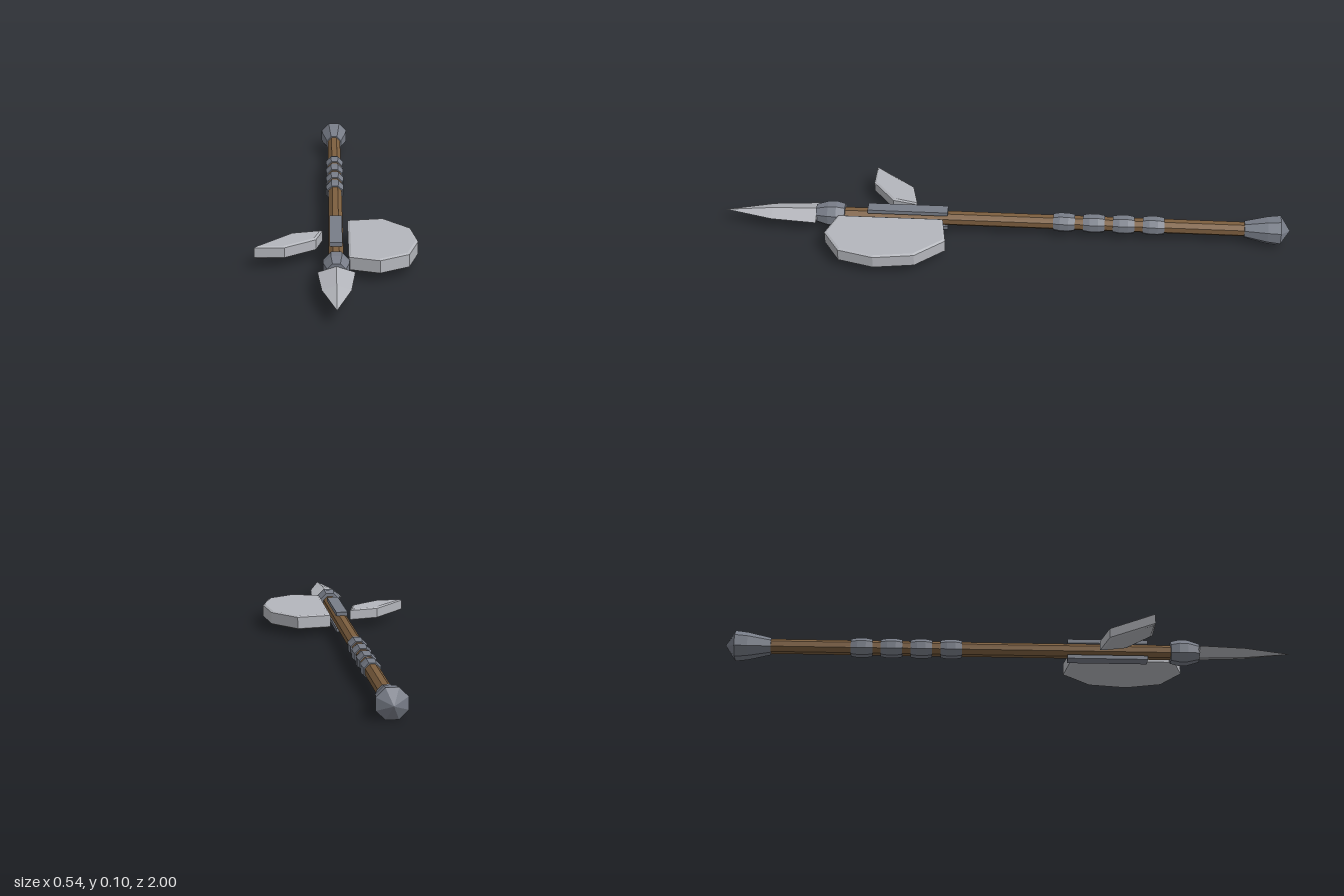
import * as THREE from 'three';

const AXIS_Y = 0.05;
const material = (color) => new THREE.MeshStandardMaterial({ color, flatShading: true });

export function createModel() {
  const model = new THREE.Group();
  const wood = material(0x7d5f3f);
  const darkMetal = material(0x787d88);
  const steel = material(0xb4b6bc);

  const add = (name, geometry, mat) => {
    const mesh = new THREE.Mesh(geometry, mat);
    mesh.name = name;
    model.add(mesh);
    return mesh;
  };

  // Faceted solid along z from [half width, z] pairs, flat side up
  const turned = (name, profile, mat) => {
    const k = 1 / Math.cos(Math.PI / 8);
    const points = profile.map(([r, z]) => new THREE.Vector2(r * k, z));
    const geometry = new THREE.LatheGeometry(points, 8, Math.PI / 8);
    geometry.rotateX(Math.PI / 2).translate(0, AXIS_Y, 0);
    return add(name, geometry, mat);
  };

  // Flat bevelled plate from an outline of [x, z] pairs
  const plate = (name, outline, thickness, mat) => {
    const shape = new THREE.Shape(outline.map(([x, z]) => new THREE.Vector2(x, -z)));
    const bevel = 0.004;
    const geometry = new THREE.ExtrudeGeometry(shape, {
      depth: thickness - 2 * bevel,
      bevelEnabled: true,
      bevelSegments: 1,
      bevelThickness: bevel,
      bevelSize: 0.008,
      bevelOffset: -0.008,
    });
    geometry.translate(0, 0, bevel - thickness / 2);
    geometry.rotateX(-Math.PI / 2).translate(0, AXIS_Y + 0.002, 0);
    return add(name, geometry, mat);
  };

  // Wooden shaft
  turned('shaft', [[0, -0.9], [0.024, -0.9], [0.024, 0.6], [0, 0.6]], wood);

  // Pommel at the back end
  turned('pommel', [[0, -1], [0.05, -0.965], [0.045, -0.92], [0.028, -0.84], [0, -0.84]], darkMetal);

  // Grip rings
  for (let i = 0; i < 4; i++) {
    const z = -0.522 + i * 0.105;
    turned('gripRing', [
      [0.02, z - 0.038], [0.028, z - 0.038], [0.032, z - 0.015],
      [0.032, z + 0.015], [0.028, z + 0.038], [0.02, z + 0.038],
    ], darkMetal);
  }

  // Reinforcing strips above and below the shaft
  for (const side of [1, -1]) {
    const strip = add('reinforcingStrip', new THREE.BoxGeometry(0.042, 0.014, 0.284), darkMetal);
    strip.position.set(0, AXIS_Y + side * 0.03, 0.346);
  }

  // Collar under the spear point
  turned('collar', [[0, 0.57], [0.036, 0.57], [0.043, 0.6], [0.042, 0.63], [0.03, 0.672], [0, 0.672]], darkMetal);

  // Spear point with a diamond section
  const point = new THREE.LatheGeometry(
    [[0, 0.665], [0.06, 0.67], [0.046, 0.83], [0, 1]].map(([r, z]) => new THREE.Vector2(r, z)), 4);
  point.rotateX(Math.PI / 2).scale(1, 0.34, 1).translate(0, AXIS_Y + 0.001, 0);
  add('spearPoint', point, steel);

  // Axe blade on the left
  plate('axeBlade', [
    [0.04, 0.22], [0.163, 0.2], [0.25, 0.3], [0.27, 0.44],
    [0.236, 0.565], [0.14, 0.625], [0.04, 0.59],
  ], 0.05, steel);

  // Swept beak on the right
  plate('beak', [
    [-0.045, 0.317], [-0.15, 0.342], [-0.268, 0.487], [-0.168, 0.487], [-0.066, 0.407],
  ], 0.042, steel);

  return model;
}
